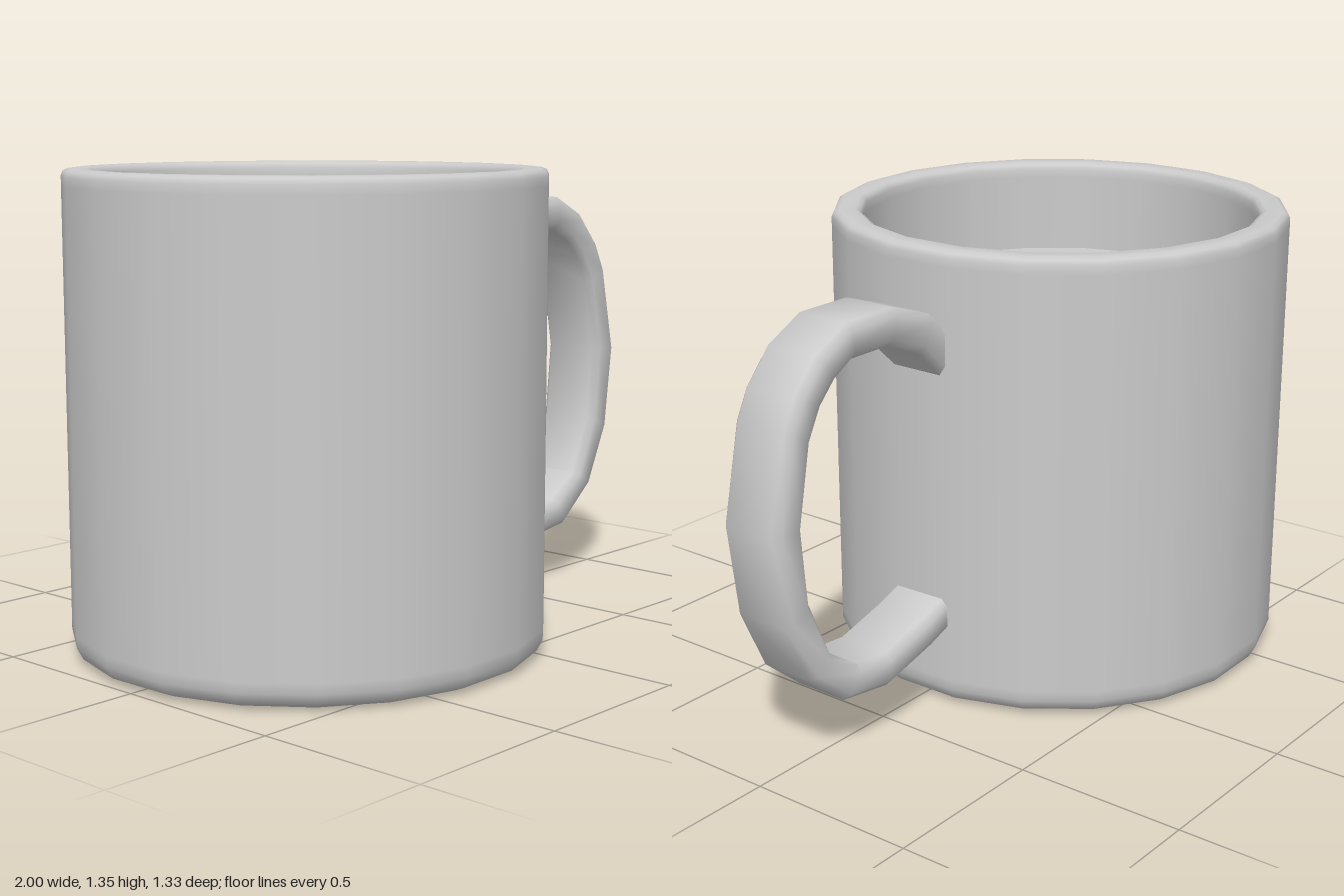
import * as THREE from 'three';
import { toCreasedNormals } from 'three/addons/utils/BufferGeometryUtils.js';

const material = new THREE.MeshStandardMaterial({ color: 0xcccccc });
const SIDES = 20;
const CENTRE_X = -0.334;

// Part turned around the mug's axis from a [radius, height] profile
function turned(name, profile) {
  const points = profile.map(([r, y]) => new THREE.Vector2(r, y));
  const lathe = new THREE.LatheGeometry(points, SIDES, Math.PI / SIDES + 0.015);
  const mesh = new THREE.Mesh(toCreasedNormals(lathe, 0.9), material);
  mesh.name = name;
  mesh.position.x = CENTRE_X;
  return mesh;
}

// Flat strap with bevelled edges, lofted through [outerX, outerY, innerX, innerY] stations
function strap(name, stations, halfWidth, bevel) {
  const b = bevel / 0.1; // bevel as a fraction of the strap's thickness
  const w = halfWidth, v = halfWidth - bevel;
  const section = [[1, -v], [1, v], [1 - b, w], [b, w], [0, v], [0, -v], [b, -w], [1 - b, -w]];
  const n = section.length;
  const positions = [], index = [];
  stations.forEach(([ox, oy, ix, iy], r) => {
    section.forEach(([u, z], s) => {
      positions.push(ix + (ox - ix) * u, iy + (oy - iy) * u, z);
      if (r === stations.length - 1) return;
      const a = r * n + s, c = r * n + (s + 1) % n;
      index.push(a, c, a + n, c, c + n, a + n);
    });
  });
  const geometry = new THREE.BufferGeometry();
  geometry.setAttribute('position', new THREE.Float32BufferAttribute(positions, 3));
  geometry.setIndex(index);
  const mesh = new THREE.Mesh(toCreasedNormals(geometry, 0.9), material);
  mesh.name = name;
  return mesh;
}

export function createModel() {
  const mug = new THREE.Group();
  mug.name = 'mug';

  // Cup: base, rounded foot, wall, rounded rim, then the hollow inside
  mug.add(turned('cup', [
    [0, 0], [0.6, 0], [0.62, 0.003], [0.655, 0.018], [0.672, 0.05], [0.672, 0.08],
    [0.672, 1.3], [0.672, 1.325], [0.666, 1.339], [0.652, 1.345],
    [0.604, 1.345], [0.59, 1.339], [0.584, 1.325], [0.584, 1.3],
    [0.584, 0.09], [0, 0.09],
  ]));

  // Drink filling the cup
  mug.add(turned('drinkSurface', [[0.584, 1.065], [0, 1.065]]));

  // Handle, from the upper joint round to the lower joint
  mug.add(strap('handle', [
    [0.28, 1.10, 0.28, 0.95],
    [0.37, 1.18, 0.42, 1.08],
    [0.52, 1.23, 0.545, 1.13],
    [0.70, 1.23, 0.685, 1.13],
    [0.82, 1.17, 0.755, 1.09],
    [0.90, 1.08, 0.81, 1.035],
    [0.94, 1.00, 0.855, 0.95],
    [1.00, 0.73, 0.895, 0.73],
    [0.965, 0.47, 0.875, 0.51],
    [0.88, 0.29, 0.80, 0.34],
    [0.75, 0.18, 0.69, 0.265],
    [0.575, 0.155, 0.575, 0.255],
    [0.40, 0.20, 0.41, 0.30],
    [0.28, 0.245, 0.28, 0.345],
  ], 0.1, 0.02));

  return mug;
}
